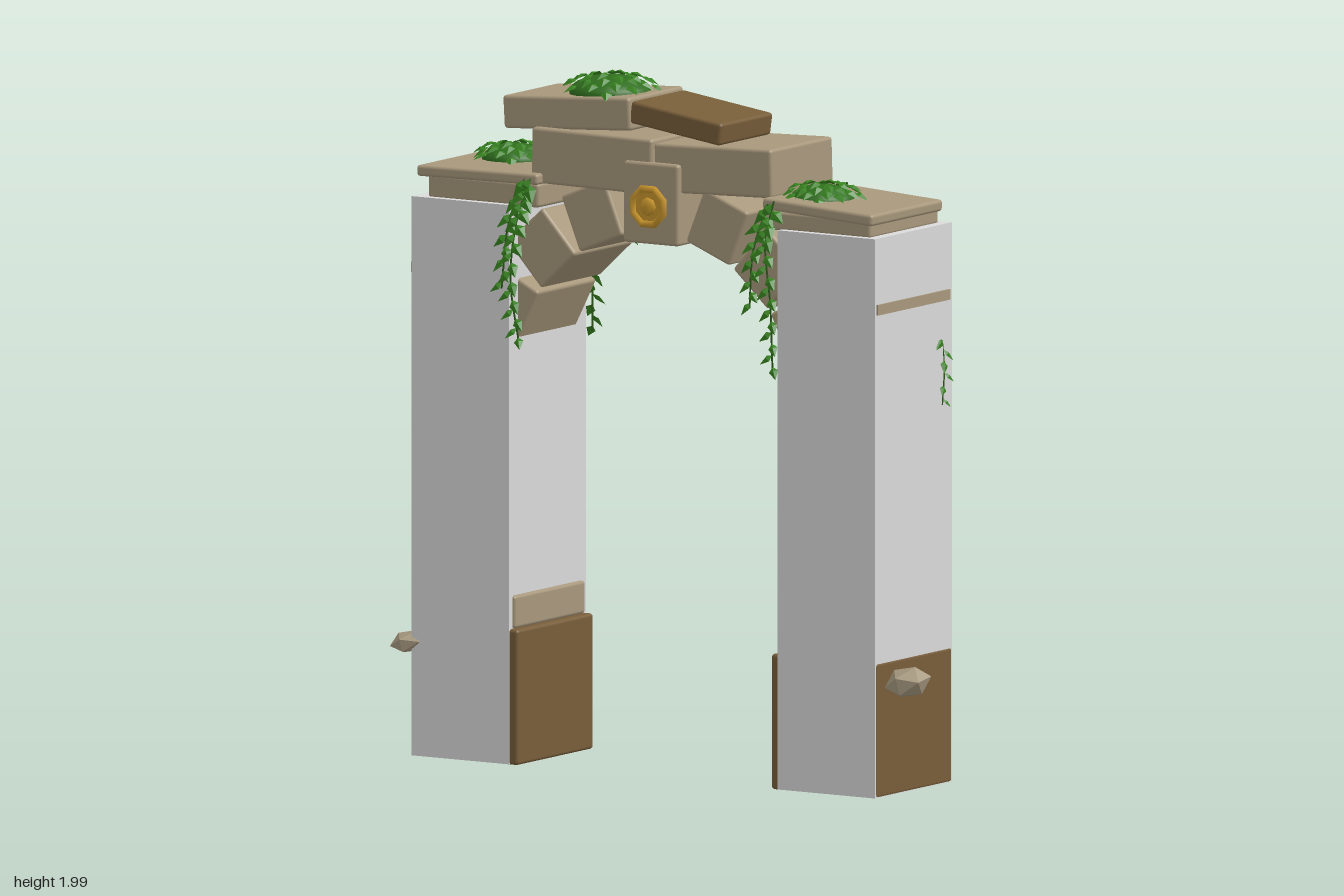
import * as THREE from 'three';
import { mergeGeometries } from 'three/addons/utils/BufferGeometryUtils.js';
import { RoundedBoxGeometry } from 'three/addons/geometries/RoundedBoxGeometry.js';

function material(name, color, extra = {}) {
  const m = new THREE.MeshStandardMaterial({ color, ...extra });
  m.name = name;
  return m;
}

// Small seeded generator for leaf and rock variation
function seeded(seed) {
  return () => {
    seed = (seed * 16807) % 2147483647;
    return seed / 2147483647;
  };
}

// Pointed leaf folded along its midrib: base at the origin, tip towards -y, face towards +z
function leafGeometry(length, width) {
  const s = new THREE.Vector3(0, 0, 0), t = new THREE.Vector3(0, -length, 0);
  const m = new THREE.Vector3(0, -length * 0.4, width * 0.25);
  const l = new THREE.Vector3(-width / 2, -length * 0.35, 0);
  const r = new THREE.Vector3(width / 2, -length * 0.35, 0);
  const g = new THREE.BufferGeometry().setFromPoints([s, l, m, l, t, m, s, m, r, m, t, r]);
  g.computeVertexNormals();
  return g;
}

export function createModel() {
  const model = new THREE.Group();
  model.name = 'ruinedArch';
  const stone = material('stone', 0xa8987c);
  const brown = material('brownStone', 0x785e3a);
  const pale = material('paleStone', 0xdadada);
  const gold = material('gold', 0xc8952c);
  const rockMat = material('rock', 0xa89a80, { flatShading: true });
  const moss = material('moss', 0x2f6e1e);
  const leafMat = material('leaf', 0x37821f, { side: THREE.DoubleSide });
  const stemMat = material('stem', 0x2c5a1a);

  function add(name, geometry, mat, x = 0, y = 0, z = 0, parent = model) {
    const mesh = new THREE.Mesh(geometry, mat);
    mesh.name = name;
    mesh.position.set(x, y, z);
    parent.add(mesh);
    return mesh;
  }

  // Bevelled block given by its extents, optionally tilted about z
  function block(name, x0, x1, y0, y1, z0, z1, mat = stone, tilt = 0) {
    const w = x1 - x0, h = y1 - y0, d = z1 - z0;
    const g = new RoundedBoxGeometry(w, h, d, 2, Math.min(0.01, h * 0.3));
    const mesh = add(name, g, mat, (x0 + x1) / 2, (y0 + y1) / 2, (z0 + z1) / 2);
    mesh.rotation.z = tilt;
    return mesh;
  }

  // Pillars with plinth, base course and a thin band near the top
  for (const [side, x0, x1, inner] of [['right', -0.8, -0.47, 1], ['left', 0.44, 0.77, -1]]) {
    add(side + 'Pillar', new THREE.BoxGeometry(x1 - x0, 1.608, 0.405), pale, (x0 + x1) / 2, 0.806, 0);
    const a = inner > 0 ? 0.001 : 0.025, b = inner > 0 ? 0.028 : 0.002;
    block(side + 'Plinth', x0 - a, x1 + b, 0, 0.39, -0.2, 0.2, brown);
    const p = inner > 0 ? -0.01 : 0.01, q = inner > 0 ? 0.01 : -0.01;
    block(side + 'BaseCourse', x0 + (inner > 0 ? 0.01 : p - 0.02), x1 + (inner > 0 ? q : -0.01), 0.39, 0.485, -0.185, 0.185);
    const outer = inner > 0 ? x0 : x1;
    add(side + 'Band', new THREE.BoxGeometry(0.012, 0.03, 0.38), stone, outer, 1.405, 0.005);
  }

  // Capitals
  block('rightCapitalLower', -0.76, -0.385, 1.605, 1.675, -0.18, 0.18);
  block('rightCapitalUpper', -0.79, -0.38, 1.67, 1.702, -0.195, 0.195, stone, 0.012);
  block('leftCapitalLower', 0.395, 0.74, 1.605, 1.66, -0.18, 0.18);
  block('leftCapitalUpper', 0.375, 0.748, 1.652, 1.686, -0.19, 0.185, stone, -0.06);

  // Arch stones fanned on both sides of the keystone
  const cx = -0.01, cy = 1.07;
  for (const s of [-1, 1]) {
    [22, 42.5, 63].forEach((deg, i) => {
      const a = THREE.MathUtils.degToRad(deg), r = 0.565;
      const v = add('archStone' + (i + 1), new RoundedBoxGeometry(0.16, 0.17, 0.31, 2, 0.01), stone,
        cx + s * r * Math.sin(a), cy + r * Math.cos(a), 0);
      v.rotation.z = -s * a;
    });
  }
  block('keystone', -0.102, 0.085, 1.53, 1.765, -0.175, 0.175);

  // Beams and loose slabs above the arch
  block('rightBeam', -0.42, -0.012, 1.672, 1.832, -0.165, 0.165, stone, -0.012);
  block('leftBeam', -0.008, 0.39, 1.685, 1.825, -0.168, 0.158, stone, 0.03);
  block('topSlab', -0.53, -0.1, 1.832, 1.927, -0.147, 0.143, stone, 0.06);
  block('fallenSlab', -0.105, 0.205, 1.845, 1.91, -0.137, 0.137, brown, -0.14);

  // Gold medallion on both faces
  for (const s of [-1, 1]) {
    const medallion = new THREE.Group();
    medallion.name = s > 0 ? 'frontMedallion' : 'backMedallion';
    medallion.position.set(cx, 1.64, s * 0.175);
    if (s < 0) medallion.rotation.y = Math.PI;
    model.add(medallion);
    const disc = add('disc', new THREE.CylinderGeometry(0.058, 0.062, 0.022, 8), gold, 0, 0, 0, medallion);
    disc.rotation.set(Math.PI / 2, Math.PI / 8, 0);
    add('rim', new THREE.TorusGeometry(0.054, 0.011, 6, 8), gold, 0, 0, 0.01, medallion).rotation.z = Math.PI / 8;
    add('boss', new THREE.OctahedronGeometry(0.028, 1), gold, 0, 0, 0.01, medallion).scale.z = 0.5;
  }

  // Broken rocks lodged by the pillar bases
  [[-0.848, 0.337, -0.14, 0.06], [-0.823, 0.325, 0.175, 0.057], [0.834, 0.333, 0.128, 0.066]].forEach(([x, y, z, r], i) => {
    const rand = seeded(71 + i * 37);
    const shape = new THREE.IcosahedronGeometry(r, 0);
    const rock = add('rock' + (i + 1), shape, rockMat, x, y, z);
    rock.rotation.set(0.15, rand() * 6, 0.2);
    rock.scale.set(1.05, i === 1 ? 0.6 : 0.72, 1);
  });

  // Moss mounds ringed and topped with leaves
  const up = new THREE.Object3D();
  [[-0.62, 1.7, -0.06, 0.095, 0.045], [-0.25, 1.93, 0.01, 0.12, 0.05], [0.48, 1.68, 0.03, 0.095, 0.045]].forEach(([x, y, z, r, h], n) => {
    const rand = seeded(501 + n * 97);
    const clump = new THREE.Group();
    clump.name = 'mossClump' + (n + 1);
    clump.position.set(x, y, z);
    model.add(clump);
    add('mound', new THREE.SphereGeometry(1, 16, 10), moss, 0, 0, 0, clump).scale.set(r, h, r);
    const leaves = [];
    for (let i = 0; i < 30; i++) {
      const a = i * 2.4, k = Math.sqrt((i + 1) / 30);
      up.rotation.set(-1.35 + k * 0.25, a, 0, 'YXZ');
      up.position.set(Math.sin(a) * r * k, h * Math.sqrt(1.05 - k * k) + 0.008, Math.cos(a) * r * k);
      up.rotation.x = -1.25 + rand() * 0.3;
      up.updateMatrix();
      leaves.push(leafGeometry(0.045 + rand() * 0.012, 0.034).applyMatrix4(up.matrix));
    }
    add('mossLeaves', mergeGeometries(leaves), leafMat, 0, 0, 0, clump);
  });

  // Hanging vine: a thin stem with alternating leaves; yaw is the direction its leaves face
  function vine(name, points, yaw, count, size, seed) {
    const rand = seeded(seed);
    const curve = new THREE.CatmullRomCurve3(points.map((p) => new THREE.Vector3(...p)));
    const group = new THREE.Group();
    group.name = name;
    model.add(group);
    add('stem', new THREE.TubeGeometry(curve, 14, 0.003, 5), stemMat, 0, 0, 0, group);
    const leaves = [];
    for (let i = 0; i < count; i++) {
      const t = (i + 0.5) / count, side = i % 2 ? 1 : -1;
      curve.getPoint(t, up.position);
      up.rotation.set(-0.45 - rand() * 0.3, yaw + side * 0.25, side * (0.3 + rand() * 0.5), 'YXZ');
      up.updateMatrix();
      const length = size * (1.1 - 0.35 * t);
      leaves.push(leafGeometry(length, length * 0.62).applyMatrix4(up.matrix));
    }
    add('leaves', mergeGeometries(leaves), leafMat, 0, 0, 0, group);
  }

  const back = Math.PI;
  vine('frontRightVineLong', [[-0.4, 1.7, 0.19], [-0.43, 1.58, 0.22], [-0.45, 1.4, 0.225], [-0.435, 1.22, 0.205]], 0, 20, 0.06, 11);
  vine('frontRightVineShort', [[-0.42, 1.7, 0.19], [-0.46, 1.56, 0.22], [-0.49, 1.37, 0.21]], 0, 11, 0.06, 23);
  vine('frontLeftVineLong', [[0.42, 1.69, 0.19], [0.41, 1.58, 0.22], [0.43, 1.4, 0.225], [0.425, 1.2, 0.205]], 0, 18, 0.058, 37);
  vine('frontLeftVineShort', [[0.4, 1.68, 0.19], [0.37, 1.55, 0.22], [0.35, 1.38, 0.21]], 0, 11, 0.058, 41);
  vine('backRightVineLong', [[-0.4, 1.75, -0.19], [-0.43, 1.6, -0.23], [-0.46, 1.4, -0.225], [-0.45, 1.2, -0.205]], back, 20, 0.06, 53);
  vine('backRightVineShort', [[-0.33, 1.73, -0.18], [-0.31, 1.62, -0.22], [-0.34, 1.47, -0.215]], back, 11, 0.058, 67);
  vine('backLeftVine', [[0.42, 1.7, -0.19], [0.43, 1.58, -0.23], [0.45, 1.35, -0.22], [0.44, 1.05, -0.204]], back, 20, 0.058, 79);
  vine('outerVine', [[0.766, 1.3, -0.15], [0.77, 1.2, -0.16], [0.77, 1.09, -0.15]], Math.PI / 2, 6, 0.045, 83);
  vine('backPillarVine', [[0.71, 1.34, -0.2], [0.7, 1.2, -0.204], [0.69, 1.02, -0.2]], back, 5, 0.042, 89);
  vine('lowBackVine', [[-0.7, 0.54, -0.2], [-0.68, 0.52, -0.204], [-0.65, 0.5, -0.2]], back, 5, 0.042, 97);

  return model;
}
